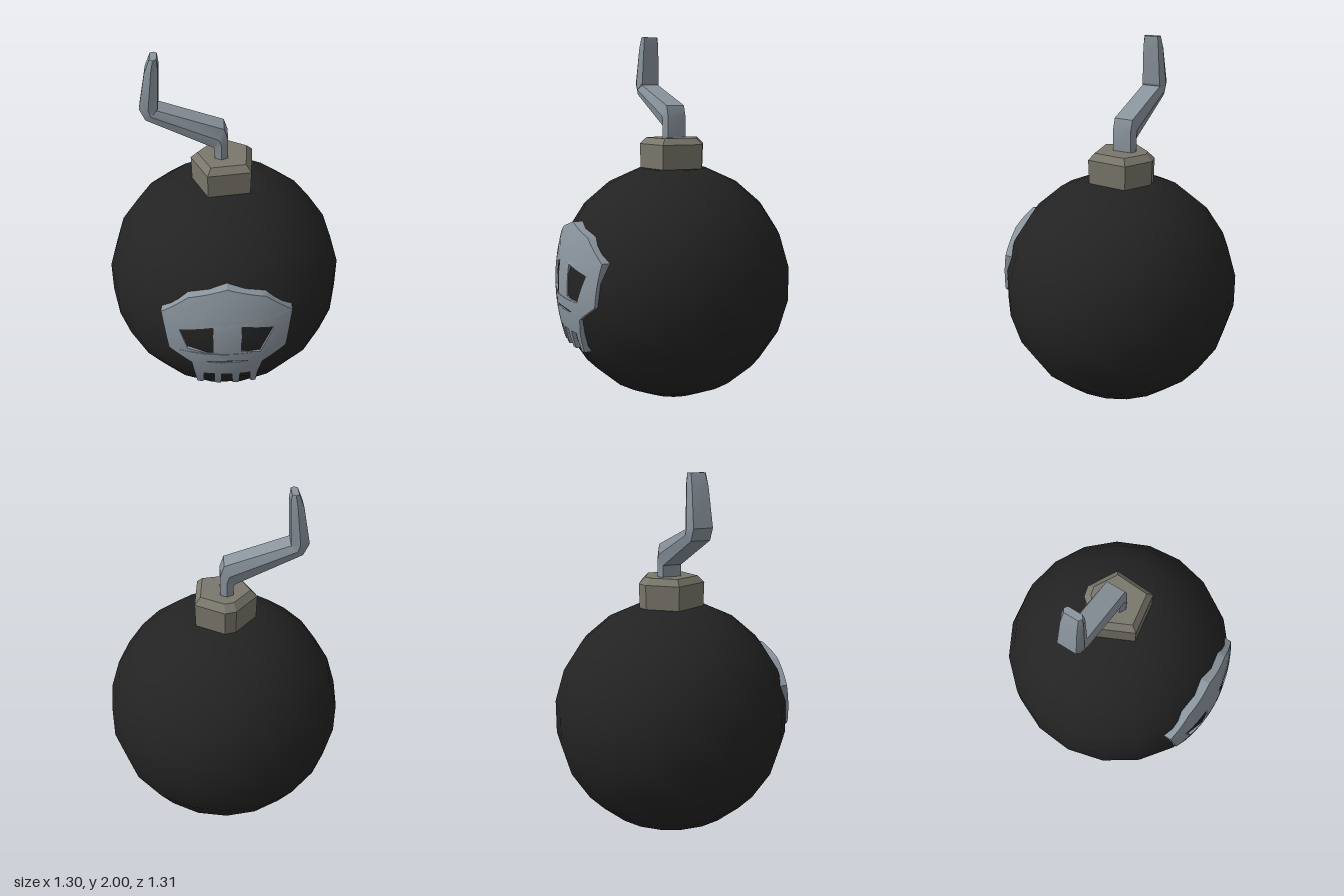
import * as THREE from 'three';
import { toCreasedNormals } from 'three/addons/utils/BufferGeometryUtils.js';

// Skin between cross-section rings (counter-clockwise along the travel), with closed ends
function loft(rings) {
  const n = rings[0].length, pos = [];
  const tri = (...pts) => pts.forEach(p => pos.push(...p));
  for (let i = 0; i < rings.length - 1; i++) {
    const p = rings[i], q = rings[i + 1];
    for (let j = 0; j < n; j++) {
      const k = (j + 1) % n;
      tri(p[j], p[k], q[k]);
      tri(p[j], q[k], q[j]);
    }
  }
  const first = rings[0], last = rings[rings.length - 1];
  for (let j = 1; j < n - 1; j++) {
    tri(first[0], first[j + 1], first[j]);
    tri(last[0], last[j], last[j + 1]);
  }
  const geo = new THREE.BufferGeometry();
  geo.setAttribute('position', new THREE.Float32BufferAttribute(pos, 3));
  geo.computeVertexNormals();
  return geo;
}

// Split every triangle into four
function subdivide(geo) {
  const src = geo.attributes.position, pos = [];
  const v = i => new THREE.Vector3().fromBufferAttribute(src, i);
  const mid = (a, b) => a.clone().add(b).multiplyScalar(0.5);
  for (let i = 0; i < src.count; i += 3) {
    const a = v(i), b = v(i + 1), c = v(i + 2);
    const ab = mid(a, b), bc = mid(b, c), ca = mid(c, a);
    [a, ab, ca, ab, b, bc, ca, bc, c, ab, bc, ca].forEach(p => pos.push(p.x, p.y, p.z));
  }
  const out = new THREE.BufferGeometry();
  out.setAttribute('position', new THREE.Float32BufferAttribute(pos, 3));
  return out;
}

const toPoints = list => list.map(([x, y]) => new THREE.Vector2(x, y));

export function createModel() {
  const group = new THREE.Group();
  const material = (name, color) => {
    const m = new THREE.MeshStandardMaterial({ color });
    m.name = name;
    return m;
  };
  const black = material('black', 0x232323);
  const grey = material('blue grey', 0x8b959e);
  const stone = material('warm grey', 0x7a776c);
  const add = (name, geo, mat) => {
    const mesh = new THREE.Mesh(geo, mat);
    mesh.name = name;
    group.add(mesh);
  };

  // Round body: 19 sides, 11 bands, flat at both poles
  const R = 0.66, cy = 0.634;
  const profile = [new THREE.Vector2(0, 0)];
  for (let i = 1; i <= 10; i++) {
    const a = Math.PI * i / 11;
    profile.push(new THREE.Vector2(R * Math.sin(a), cy - R * Math.cos(a)));
  }
  profile.push(new THREE.Vector2(0, cy + R * Math.cos(Math.PI / 11)));
  add('body', new THREE.LatheGeometry(profile, 19, Math.PI), black);

  // Uneven chamfered neck
  const neck = [[-0.06, -0.175], [-0.178, -0.03], [-0.09, 0.16], [0.14, 0.125], [0.155, -0.105], [0, -0.19]];
  const neckRing = (s, y) => neck.map(([x, z]) => [x * s, y, z * s]);
  const neckGeo = loft([neckRing(0.97, 1.23), neckRing(1, 1.4), neckRing(0.8, 1.435)]);
  add('neck', neckGeo, stone);

  // Bent fuse: right x, y, left x, y, width scale
  const fuse = [
    [0.02, 1.41, -0.05, 1.41, 1],
    [0.02, 1.55, -0.05, 1.49, 1],
    [0, 1.61, -0.055, 1.5, 1],
    [-0.34, 1.725, -0.4, 1.67, 1],
    [-0.335, 1.735, -0.43, 1.735, 1],
    [-0.325, 1.95, -0.393, 1.93, 0.85],
    [-0.33, 2, -0.365, 2, 0.72],
  ].map(([rx, ry, lx, ly, s]) => {
    const zc = -0.016, w = 0.053 * s, ridge = 0.07 * s;
    const mx = (rx + lx) / 2, my = (ry + ly) / 2;
    return [[rx, ry, zc + w], [rx, ry, zc - w], [mx, my, zc - ridge],
      [lx, ly, zc - w], [lx, ly, zc + w], [mx, my, zc + ridge]];
  });
  add('fuse', toCreasedNormals(loft(fuse), 0.4), grey);

  // Skull emblem, cut out flat and then curved over the body
  const skull = new THREE.Shape(toPoints([
    [0, 1], [-0.2, 0.945], [-0.343, 0.83], [-0.31, 0.6], [-0.19, 0.515],
    [-0.163, 0.325], [-0.13, 0.325], [-0.125, 0.425], [-0.07, 0.425], [-0.07, 0.325],
    [-0.033, 0.325], [-0.03, 0.425], [0.027, 0.425], [0.03, 0.325], [0.065, 0.325],
    [0.07, 0.425], [0.125, 0.425], [0.13, 0.325], [0.158, 0.325], [0.167, 0.425],
    [0.19, 0.515], [0.315, 0.6], [0.343, 0.83], [0.2, 0.945],
  ]));
  const holes = [
    [[-0.075, 0.785], [-0.25, 0.745], [-0.21, 0.625], [-0.075, 0.605]],
    [[0.075, 0.788], [0.245, 0.753], [0.175, 0.6], [0.075, 0.62]],
    [[-0.11, 0.543], [0, 0.547], [0.11, 0.543], [0.11, 0.537], [0, 0.534], [-0.11, 0.537]],
  ];
  holes.forEach(h => skull.holes.push(new THREE.Path(toPoints(h))));
  let emblem = new THREE.ExtrudeGeometry(skull, { depth: 0.055, bevelEnabled: false });
  for (let i = 0; i < 3; i++) emblem = subdivide(emblem);
  const p = emblem.attributes.position;
  for (let i = 0; i < p.count; i++) {
    const x = p.getX(i), dy = p.getY(i) - cy;
    p.setZ(i, p.getZ(i) + 0.602 - 0.69 * x * x - 0.525 * dy * dy);
  }
  add('skullEmblem', toCreasedNormals(emblem, 0.5), grey);

  return group;
}
